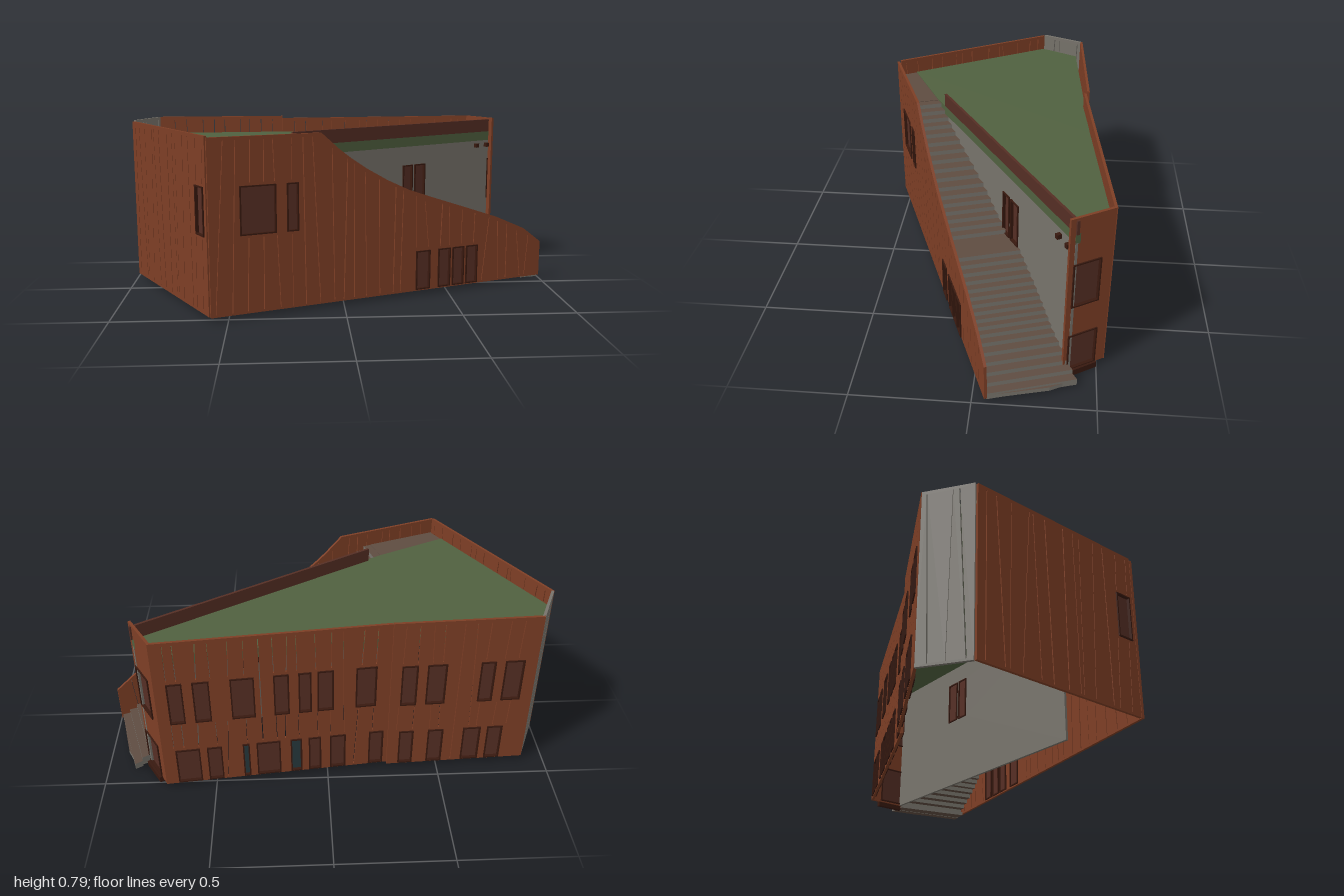
import * as THREE from 'three';

const mat = (color) => new THREE.MeshStandardMaterial({ color, side: THREE.DoubleSide, flatShading: true });
const rust = mat(0x7d3e25), darkRust = mat(0x552e24), frameMat = mat(0x38190f), grey = mat(0x77736b),
  green = mat(0x50603f), treadMat = mat(0x5e4c41), teal = mat(0x26383c);

const BASE = 0.02, THICK = 0.012;
let seed = 7;
const rand = () => (seed = (seed * 16807) % 2147483647) / 2147483647;

// plan lines of the front wall and of the wall beside the stairs
const frontZ = (x) => -0.05 + 0.378 * (0.99 - x);
const innerZ = (x) => 0.29 - 0.609 * (x + 0.29);

// piecewise linear lookup in a list of [key, value] with rising keys
function lerpTable(table, k) {
  if (k <= table[0][0]) return table[0][1];
  for (let i = 1; i < table.length; i++) {
    const [a, va] = table[i - 1], [b, vb] = table[i];
    if (k <= b) return va + ((vb - va) * (k - a)) / (b - a);
  }
  return table[table.length - 1][1];
}

const polygon = (pts, Type = THREE.Shape) => new Type(pts.map(([x, y]) => new THREE.Vector2(x, y)));
const rect = (a, b, c, d) => [[a, c], [b, c], [b, d], [a, d]];

function addMesh(parent, name, geometry, material) {
  const m = new THREE.Mesh(geometry, material);
  m.name = name;
  parent.add(m);
  return m;
}

// horizontal slab from plan points [x, z]
function slab(parent, name, pts, y0, y1, material) {
  const geo = new THREE.ExtrudeGeometry(polygon(pts.map(([x, z]) => [x, -z])), { depth: y1 - y0, bevelEnabled: false });
  geo.rotateX(-Math.PI / 2);
  geo.translate(0, y0, 0);
  return addMesh(parent, name, geo, material);
}

// upright wall from plan point p to q, outer face on local +z;
// windows are [x0, x1, y0, y1, pane] with x in world units
function wall(parent, name, p, q, { top, base = BASE, windows = [], slits = true, material = rust }) {
  const g = new THREE.Group();
  g.name = name;
  const dx = q[0] - p[0], dz = q[1] - p[1], len = Math.hypot(dx, dz);
  g.position.set(p[0], 0, p[1]);
  g.rotation.y = Math.atan2(-dz, dx);
  const toU = (x) => ((x - p[0]) / dx) * len;
  const profile = (Array.isArray(top) ? top : [[p[0], top], [q[0], top]]).map(([x, y]) => [toU(x), y]);
  const shape = polygon([[0, base], [len, base], ...profile.slice().reverse()]);
  const openings = windows.map(([x0, x1, y0, y1, pane]) => {
    const a = toU(x0), b = toU(x1);
    return { a: Math.min(a, b), b: Math.max(a, b), y0, y1, pane };
  });
  for (const o of openings) shape.holes.push(polygon(rect(o.a, o.b, o.y0, o.y1), THREE.Path));

  // slanting open joints between the cladding panels, interrupted at windows
  const pitch = 0.062;
  for (let u = 0.02; slits && u + pitch < len; u += pitch) {
    const lo = u + rand() * 0.05, hi = u + rand() * 0.05, w = 0.002 + rand() * 0.0025;
    const h = Math.min(lerpTable(profile, lo), lerpTable(profile, hi)) - 0.015, y0 = base + 0.01;
    const at = (y) => lo + ((hi - lo) * (y - y0)) / (h - y0);
    let spans = [[y0, h]];
    for (const o of openings) {
      if (Math.max(lo, hi) + 0.012 < o.a || Math.min(lo, hi) - 0.008 > o.b) continue;
      spans = spans.flatMap(([s, e]) => (o.y1 < s || o.y0 > e ? [[s, e]] : [[s, o.y0 - 0.012], [o.y1 + 0.012, e]]));
    }
    for (const [s, e] of spans) {
      if (e - s < 0.04) continue;
      shape.holes.push(polygon([[at(s), s], [at(s) + w, s], [at(e) + w, e], [at(e), e]], THREE.Path));
    }
  }
  const geo = new THREE.ExtrudeGeometry(shape, { depth: THICK, bevelEnabled: false });
  geo.translate(0, 0, -THICK);
  addMesh(g, name + 'Cladding', geo, material);

  // frames and recessed panes
  for (const o of openings) {
    const f = 0.006, ring = polygon(rect(o.a, o.b, o.y0, o.y1));
    ring.holes.push(polygon(rect(o.a + f, o.b - f, o.y0 + f, o.y1 - f), THREE.Path));
    const fg = new THREE.ExtrudeGeometry(ring, { depth: 0.024, bevelEnabled: false });
    fg.translate(0, 0, -0.018);
    addMesh(g, 'windowFrame', fg, frameMat);
    const pane = addMesh(g, 'windowPane', new THREE.BoxGeometry(o.b - o.a - f, o.y1 - o.y0 - f, 0.004), o.pane || darkRust);
    pane.position.set((o.a + o.b) / 2, (o.y0 + o.y1) / 2, -0.01);
  }
  parent.add(g);
  return g;
}

export function createModel() {
  const model = new THREE.Group();
  model.name = 'building';
  const up = (x0, x1, pane) => [x0, x1, 0.36, 0.57, pane];
  const low = (x0, x1, pane) => [x0, x1, 0.026, 0.21, pane];

  // front wall with the top sweeping down along the stairs
  wall(model, 'frontWall', [-0.57, frontZ(-0.57)], [0.995, frontZ(0.995)], {
    top: [[-0.57, 0.775], [-0.1, 0.775], [-0.02, 0.7], [0.03, 0.66], [0.1, 0.61], [0.2, 0.55], [0.3, 0.5],
      [0.42, 0.455], [0.6, 0.39], [0.75, 0.335], [0.9, 0.265], [0.995, 0.19]],
    windows: [up(-0.445, -0.295), up(-0.25, -0.2), low(0.34, 0.41), low(0.45, 0.512), low(0.522, 0.582), low(0.592, 0.652)],
  });

  // left end wall and the grey corner panel
  wall(model, 'leftWall', [-0.995, -0.2], [-0.58, 0.525], { top: 0.78, windows: [up(-0.63, -0.59)] });
  wall(model, 'cornerPanel', [-0.9, -0.41], [-0.99, -0.21], { top: 0.785, material: grey });

  // back wall in two stepped lengths, two rows of windows
  wall(model, 'backWallRight', [0.72, -0.533], [-0.27, -0.427], {
    top: 0.775,
    windows: [up(0.67, 0.605), up(0.565, 0.495), up(0.41, 0.31), up(0.23, 0.165), up(0.125, 0.07), up(0.045, -0.025),
      up(-0.12, -0.21), low(0.665, 0.56), low(0.53, 0.465), low(0.375, 0.345, teal), low(0.315, 0.21),
      low(0.165, 0.115, teal), low(0.085, 0.03), low(-0.01, -0.08), low(-0.185, -0.25)],
  });
  wall(model, 'backWallLeft', [-0.27, -0.442], [-0.9, -0.412], {
    top: 0.785,
    windows: [up(-0.315, -0.385), up(-0.425, -0.51), up(-0.655, -0.72), up(-0.76, -0.845),
      low(-0.32, -0.385), low(-0.45, -0.52), low(-0.61, -0.69), low(-0.72, -0.79)],
  });

  // right end wall with door and window above
  wall(model, 'rightWall', [0.82, -0.36], [0.72, -0.53], {
    top: 0.775, slits: false, windows: [[0.746, 0.81, 0.355, 0.565], [0.743, 0.812, 0.026, 0.21]],
  });
  slab(model, 'doorSill', [[0.735, -0.49], [0.755, -0.5], [0.825, -0.385], [0.805, -0.375]], 0, 0.028, frameMat);

  // grey wall beside the stairs, with two lamps
  const inner = wall(model, 'stairSideWall', [-0.29, innerZ(-0.29)], [0.81, innerZ(0.81)], {
    top: 0.665, slits: false, material: grey, windows: [up(0.31, 0.362), up(0.372, 0.43)],
  });
  for (const x of [0.72, 0.78]) {
    const lamp = addMesh(inner, 'wallLamp', new THREE.BoxGeometry(0.018, 0.02, 0.02), frameMat);
    lamp.position.set((x + 0.29) * 1.171, 0.637, 0.01);
  }

  // roof, upper landing and parapet strip
  slab(model, 'roof', [[-0.985, -0.2], [-0.89, -0.38], [0, -0.443], [0.715, -0.52], [0.81, innerZ(0.81)],
    [-0.29, 0.29], [-0.61, 0.45]], 0.66, 0.705, green);
  slab(model, 'upperLanding', [[-0.61, 0.45], [-0.57, frontZ(-0.57) - 0.012], [-0.25, frontZ(-0.25) - 0.012], [-0.29, 0.29]],
    0.67, 0.702, treadMat);
  wall(model, 'roofParapet', [-0.22, innerZ(-0.22)], [0.815, innerZ(0.815)], {
    top: 0.767, base: 0.705, slits: false, material: darkRust,
  });

  // stairs: treads span from the side wall to the front wall, with a mid landing
  const climb = [[0.02, 0.875], [0.13, 0.7], [0.25, 0.57], [0.34, 0.45], [0.36, 0.33], [0.47, 0.16], [0.61, -0.14], [0.7, -0.29]];
  const edge = (y) => {
    const x = lerpTable(climb, y), z = innerZ(x);
    const t = (frontZ(x) - z) / (1 + 0.378 * 0.3);
    return [[x, z], [x + 0.3 * t, z + t - 0.012]];
  };
  const stairs = new THREE.Group();
  stairs.name = 'stairs';
  model.add(stairs);
  const count = 34, rise = (0.7 - BASE) / count;
  for (let i = 0; i < count; i++) {
    const y = BASE + i * rise, [a, b] = edge(y), [c, d] = edge(y + rise);
    slab(stairs, 'step', [a, b, d, c], Math.max(0.01, y - 0.012), y + rise, [treadMat, grey]);
  }
  // low paving slab at the foot of the stairs
  slab(stairs, 'stairFoot', [[0.8, -0.37], [0.87, -0.405], [0.92, -0.31], [0.985, -0.06], [0.9, -0.03]], 0.012, 0.03, [treadMat, grey]);
  return model;
}
